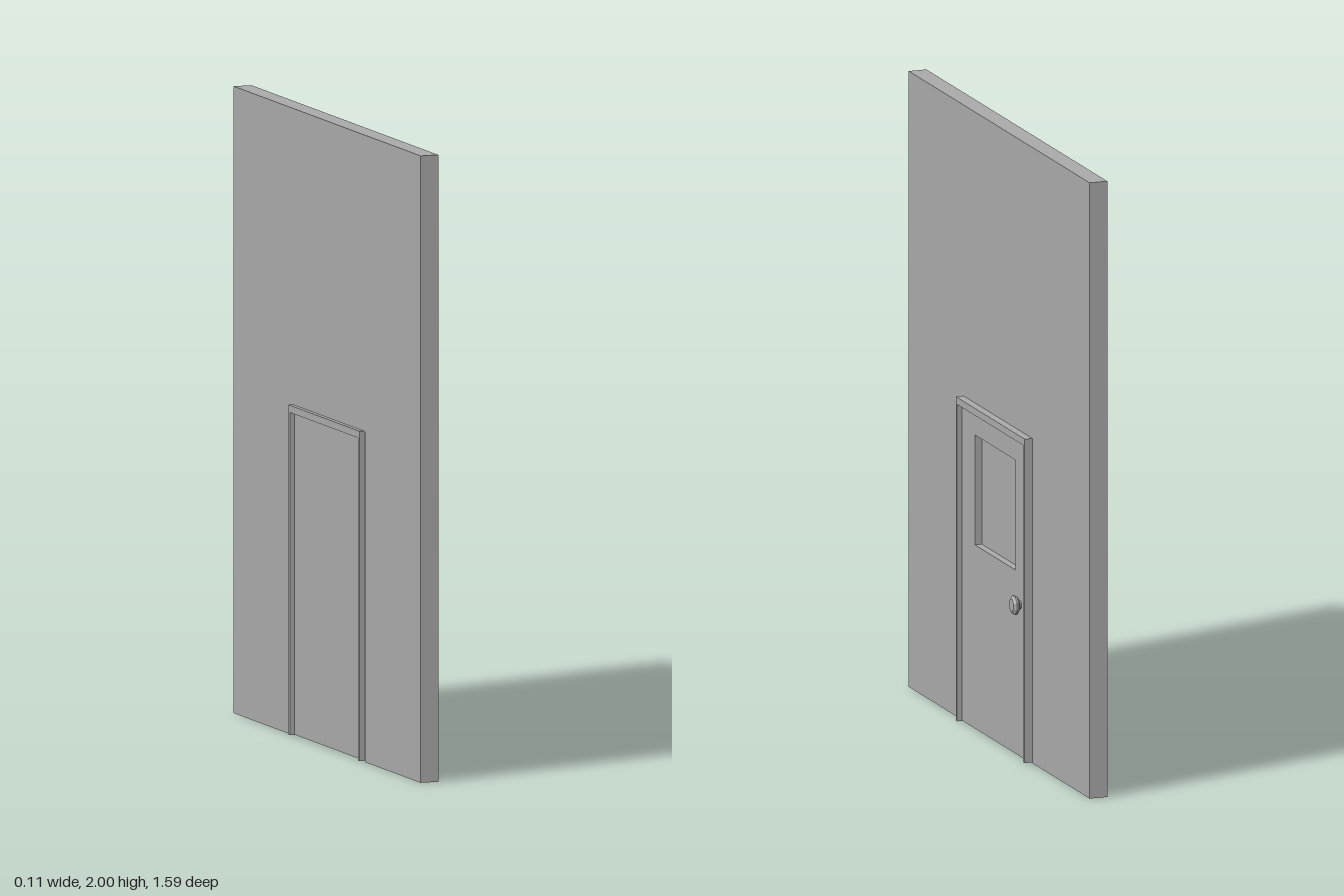
import * as THREE from 'three';

const grey = new THREE.MeshStandardMaterial({ color: 0xa8a8a8 });
grey.name = 'plain grey';

// Shape in the wall plane: u runs towards -z, v is up
function outline(points, Type = THREE.Shape) {
  return new Type(points.map(([u, v]) => new THREE.Vector2(u, v)));
}

const rect = (u0, u1, v0, v1) => [[u0, v0], [u1, v0], [u1, v1], [u0, v1]];

// Portal outline: a rectangle with a doorway cut up from the floor
const arch = (o0, o1, top, i0, i1, innerTop, floor) => outline([
  [o0, floor], [i0, floor], [i0, innerTop], [i1, innerTop],
  [i1, floor], [o1, floor], [o1, top], [o0, top],
]);

// Extrudes a wall-plane shape between two x positions
function slab(name, shape, x0, x1) {
  const geo = new THREE.ExtrudeGeometry(shape, { depth: x1 - x0, bevelEnabled: false });
  geo.rotateY(Math.PI / 2);
  geo.translate(x0, 0, 0);
  const mesh = new THREE.Mesh(geo, grey);
  mesh.name = name;
  return mesh;
}

export function createModel() {
  const model = new THREE.Group();
  model.name = 'wallWithDoor';

  // Wall, with its doorway a little wider than the frame on one side
  model.add(slab('wall', arch(-0.793, 0.793, 2, -0.322, 0.29, 1.053, 0), -0.043, 0.017));

  // Door frame, standing proud on both sides
  model.add(slab('doorFrame', arch(-0.312, 0.292, 1.055, -0.3, 0.276, 1.032, 0.003), -0.058, 0.043));

  // Door leaf with a window opening
  const door = new THREE.Group();
  door.name = 'door';
  const windowRect = rect(-0.19, 0.167, 0.6, 0.957);
  const leaf = outline(rect(-0.3, 0.276, 0.004, 1.032));
  leaf.holes.push(outline(windowRect, THREE.Path));
  door.add(slab('doorLeaf', leaf, 0.002, 0.026));
  door.add(slab('doorBack', outline(rect(-0.3, 0.276, 0.004, 1.032)), -0.043, 0.002));

  // Low-poly knob on a short neck
  const knob = new THREE.Group();
  knob.name = 'doorKnob';
  const profile = [[0.014, 0], [0.014, 0.008], [0.026, 0.01], [0.032, 0.016],
    [0.032, 0.022], [0.022, 0.03], [0, 0.031]];
  const knobGeo = new THREE.LatheGeometry(profile.map(([r, h]) => new THREE.Vector2(r, h)), 8, Math.PI / 8)
    .toNonIndexed();
  knobGeo.rotateZ(-Math.PI / 2);
  knobGeo.computeVertexNormals();
  const knobMesh = new THREE.Mesh(knobGeo, grey);
  knobMesh.name = 'knobHead';
  knob.add(knobMesh);
  knob.position.set(0.026, 0.497, -0.208);
  door.add(knob);
  model.add(door);

  return model;
}
